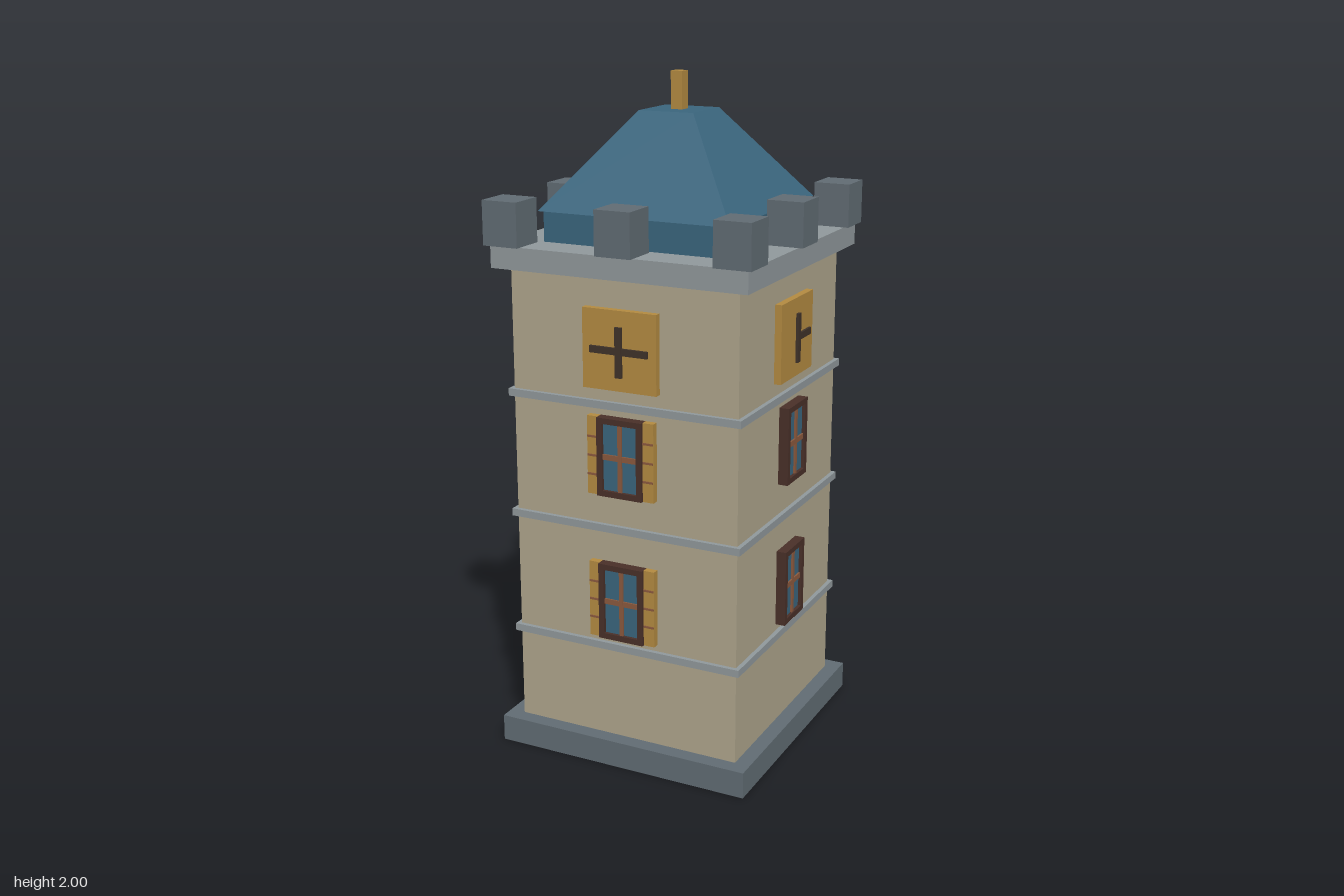
import * as THREE from 'three';

const mat = (name, color) => {
  const m = new THREE.MeshStandardMaterial({ color });
  m.name = name;
  return m;
};

export function createModel() {
  const wall = mat('sandstone', 0xb0a78e);
  const darkStone = mat('dark stone', 0x626d74);
  const paleStone = mat('pale stone', 0x929a9d);
  const blue = mat('blue slate', 0x3b667e);
  const gold = mat('ochre wood', 0xb58c42);
  const darkWood = mat('dark wood', 0x4a3029);
  const brown = mat('brown wood', 0x8c5a3e);
  const slit = mat('slit shadow', 0x40332a);

  const tower = new THREE.Group();
  tower.name = 'tower';

  // Box given by its extents on each axis
  const box = (parent, name, m, x0, x1, y0, y1, z0, z1) => {
    const mesh = new THREE.Mesh(new THREE.BoxGeometry(x1 - x0, y1 - y0, z1 - z0), m);
    mesh.position.set((x0 + x1) / 2, (y0 + y1) / 2, (z0 + z1) / 2);
    mesh.name = name;
    parent.add(mesh);
    return mesh;
  };
  const slab = (name, m, half, y0, y1) => box(tower, name, m, -half, half, y0, y1, -half, half);

  // Stacked masonry
  slab('plinth', darkStone, 0.4, 0, 0.08);
  slab('shaft', wall, 0.354, 0.08, 1.47);
  for (const y of [0.368, 0.736, 1.104]) slab('stringCourse', paleStone, 0.367, y - 0.011, y + 0.011);
  slab('cornice', paleStone, 0.395, 1.47, 1.535);

  // Battlements around the edge, leaving the middle free
  for (const i of [-1, 0, 1]) {
    for (const j of [-1, 0, 1]) {
      if (i === 0 && j === 0) continue;
      const x = i * 0.354, z = j * 0.354, h = 0.055;
      box(tower, 'merlon', darkStone, x - h, x + h, 1.535, 1.663, z - h, z + h);
    }
  }

  // Roof: low drum, truncated pyramid and finial
  slab('roofDrum', blue, 0.285, 1.535, 1.625);
  const roofGeo = new THREE.CylinderGeometry(0.085 * Math.SQRT2, 0.297 * Math.SQRT2, 0.27, 4).rotateY(Math.PI / 4);
  const roof = new THREE.Mesh(roofGeo.toNonIndexed(), blue);
  roof.geometry.computeVertexNormals();
  roof.position.y = 1.758;
  roof.name = 'roof';
  tower.add(roof);
  slab('finial', gold, 0.018, 1.893, 2);

  // Framed window with crossed glazing bars and optional shutters
  const addWindow = (parent, y, shutters) => {
    const w = new THREE.Group();
    w.name = 'window';
    w.position.y = y;
    parent.add(w);
    const W = 0.071, H = 0.116, t = 0.017, z0 = 0.35, z1 = 0.384;
    box(w, 'glass', blue, -W + t, W - t, -H + t, H - t, z0, 0.374);
    for (const s of [-1, 1]) {
      const xm = s * (W - t / 2), ym = s * (H - t / 2);
      box(w, 'frameSide', darkWood, xm - t / 2, xm + t / 2, -H, H, z0, z1);
      box(w, 'frameRail', darkWood, -W + t, W - t, ym - t / 2, ym + t / 2, z0, z1);
    }
    box(w, 'glazingBarUpright', brown, -0.006, 0.006, -H + t, H - t, z0, 0.38);
    box(w, 'glazingBarCross', brown, -W + t, W - t, -0.008, 0.008, z0, 0.379);
    if (!shutters) return;
    for (const s of [-1, 1]) {
      const xm = s * 0.088;
      box(w, 'shutter', gold, xm - 0.017, xm + 0.017, -H, H, z0, 0.375);
      for (const k of [-1, 0, 1]) {
        box(w, 'shutterSlat', brown, xm - 0.016, xm + 0.016, k * 0.056 - 0.003, k * 0.056 + 0.003, 0.372, 0.378);
      }
    }
  };

  // One wall face: two windows and a panel with a cross-shaped arrow slit
  const addFacade = (name, angle, shutters, barFrom, barTo) => {
    const f = new THREE.Group();
    f.name = name;
    f.rotation.y = angle;
    tower.add(f);
    addWindow(f, 0.516, shutters);
    addWindow(f, 0.956, shutters);
    box(f, 'slitPanel', gold, -0.115, 0.115, 1.153, 1.383, 0.35, 0.375);
    box(f, 'slitUpright', slit, -0.01, 0.01, 1.193, 1.337, 0.374, 0.383);
    box(f, 'slitCrossbar', slit, barFrom, barTo, 1.258, 1.278, 0.374, 0.3825);
  };
  addFacade('frontFacade', 0, true, -0.09, 0.09);
  addFacade('backFacade', Math.PI, true, -0.09, 0.09);
  // On the side walls the crossbar reaches only towards the back
  addFacade('leftFacade', Math.PI / 2, false, 0, 0.088);
  addFacade('rightFacade', -Math.PI / 2, false, -0.088, 0);

  return tower;
}
